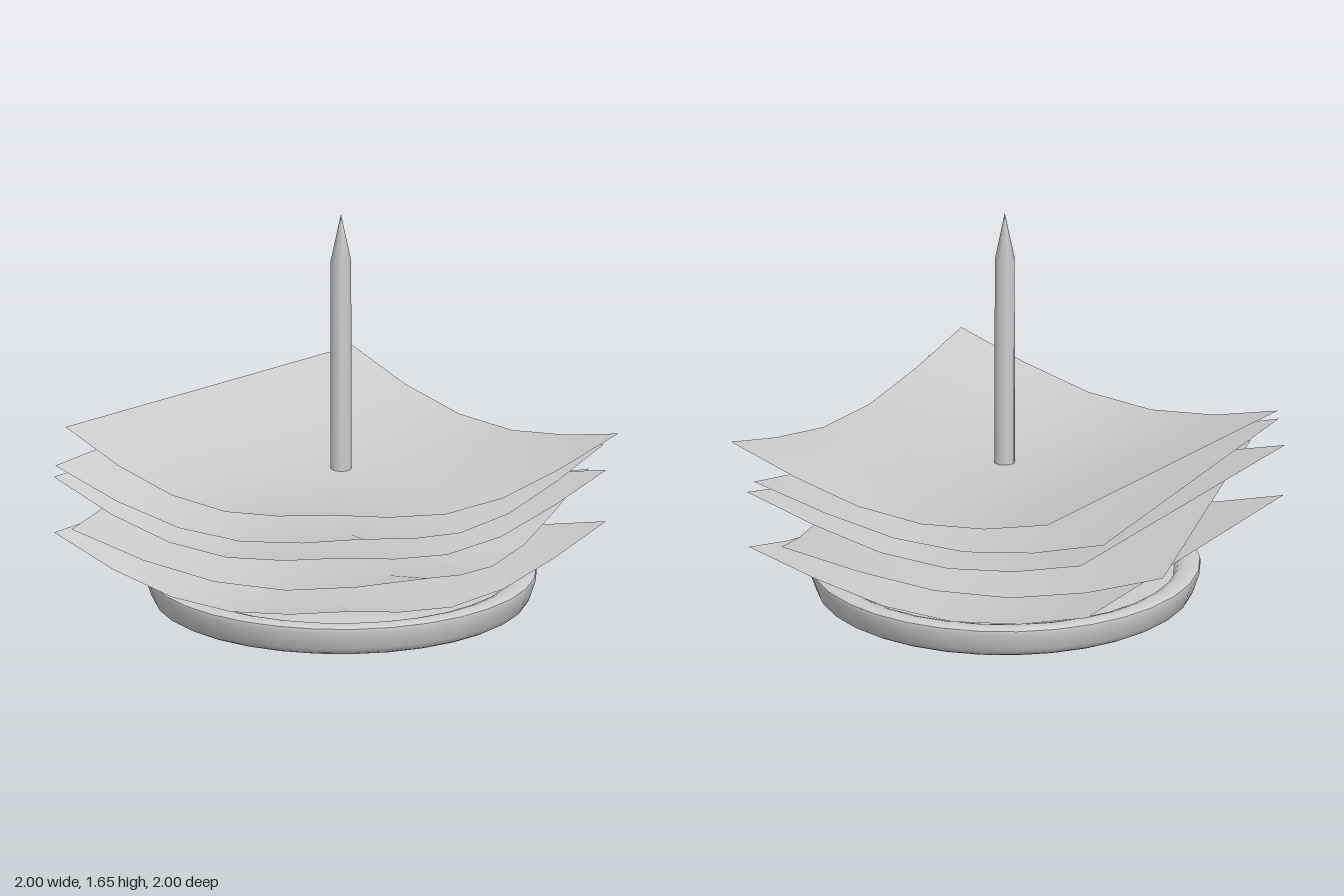
import * as THREE from 'three';
import { toCreasedNormals } from 'three/addons/utils/BufferGeometryUtils.js';

const metal = new THREE.MeshStandardMaterial({ color: 0xcccccc });
metal.name = 'light grey metal';
const paper = new THREE.MeshStandardMaterial({ color: 0xcccccc, side: THREE.DoubleSide });
paper.name = 'light grey paper';

const CENTRE = [0.018, 0.043];

function turned(name, profile, sides, crease) {
  const points = profile.map(([r, y]) => new THREE.Vector2(r, y));
  let geometry = new THREE.LatheGeometry(points, sides);
  if (crease) geometry = toCreasedNormals(geometry, crease);
  const mesh = new THREE.Mesh(geometry, metal);
  mesh.name = name;
  mesh.position.set(CENTRE[0], 0, CENTRE[1]);
  return mesh;
}

// Square sheet: front corners curl up, the whole back edge lifts straight
function sheet(name, x, y, z, degrees) {
  const size = 1.6;
  const geometry = new THREE.PlaneGeometry(size, size, 5, 5);
  geometry.rotateX(-Math.PI / 2);
  const p = geometry.attributes.position;
  for (let i = 0; i < p.count; i++) {
    const u = Math.abs(p.getX(i)) * 2 / size;
    const v = p.getZ(i) * 2 / size;
    const a = u ** 1.5, b = Math.abs(v) ** 1.5;
    p.setY(i, v > 0
      ? 0.02 * (a + b) + 0.13 * a * b
      : 0.17 * b + 0.02 * a * Math.max(0, 1 + v / 0.6));
  }
  geometry.computeVertexNormals();
  const mesh = new THREE.Mesh(geometry, paper);
  mesh.name = name;
  mesh.position.set(x, y, z);
  mesh.rotation.y = THREE.MathUtils.degToRad(degrees);
  return mesh;
}

export function createModel() {
  const model = new THREE.Group();
  model.name = 'paperSpike';

  // Round foot with a rolled rim and a shallow recess
  model.add(turned('base', [
    [0, 0], [0.75, 0], [0.768, 0.01], [0.778, 0.03], [0.803, 0.105],
    [0.8, 0.122], [0.785, 0.13], [0.74, 0.13], [0.71, 0.12], [0.695, 0.09], [0, 0.09],
  ], 32, 0.9));

  // Slim pointed rod
  model.add(turned('spike', [[0.044, 0.08], [0.042, 1.45], [0, 1.65]], 8));

  // Stack of sheets, each turned a little differently
  [
    [0, 0.13, 0, 0],
    [0, 0.25, 0, 17.1],
    [0, 0.36, 0, -1.4],
    [-0.003, 0.44, 0, 3.4],
    [0.027, 0.547, 0.04, -6],
  ].forEach((s, i) => model.add(sheet('paperSheet' + (i + 1), ...s)));

  return model;
}
